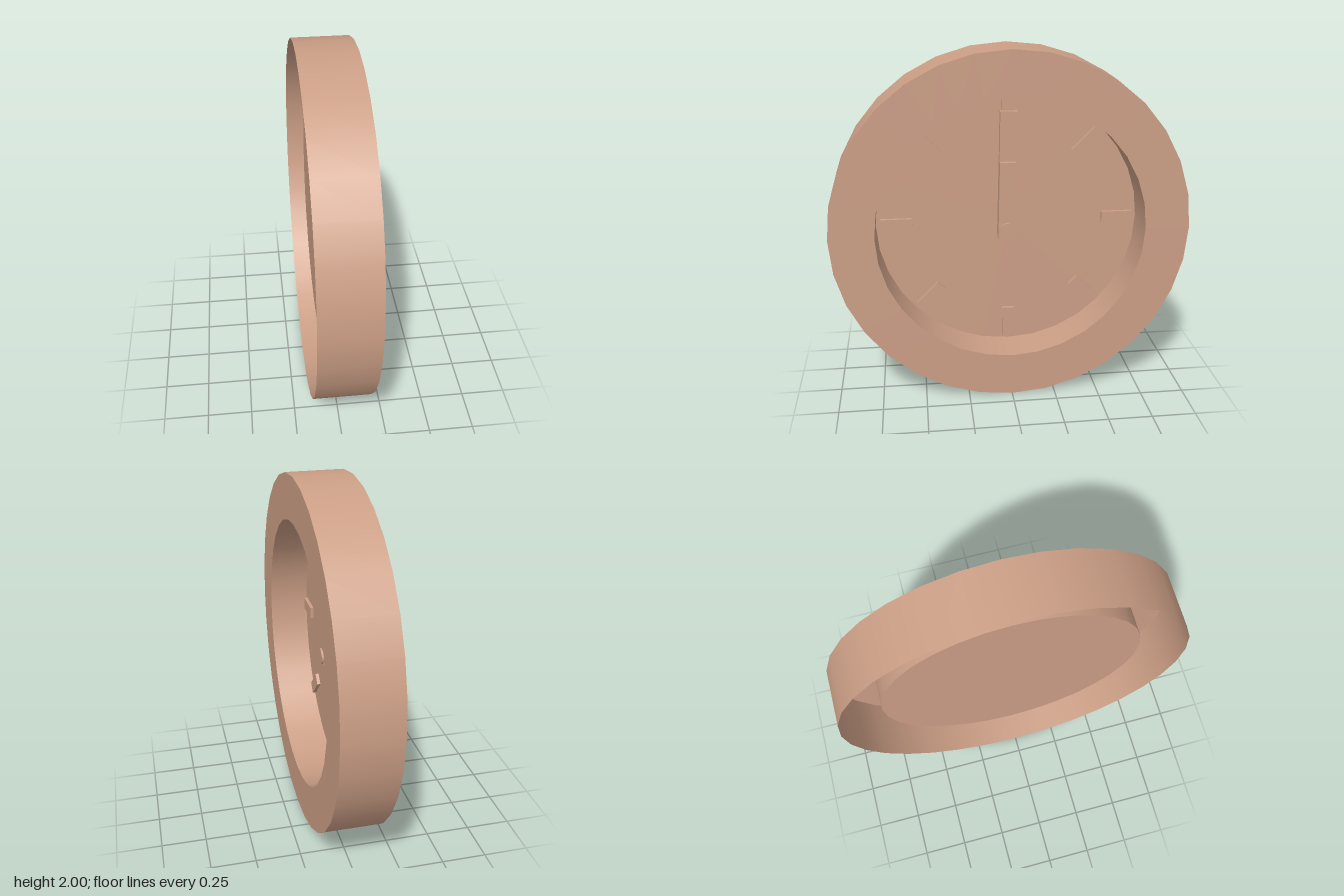
import * as THREE from 'three';

export function createModel() {
  const model = new THREE.Group();
  model.name = 'wallClock';
  const clay = new THREE.MeshStandardMaterial({ color: 0xcc9f86, side: THREE.DoubleSide });
  clay.name = 'clay';

  const SIDES = 32, FRONT = 0.16, BACK = -0.16, DIAL = -0.07, INNER = 0.75;

  // The clock faces +x; its centre is one unit above the ground
  const clock = new THREE.Group();
  clock.name = 'clock';
  clock.position.y = 1;
  model.add(clock);

  function add(name, geometry, x = 0, y = 0, z = 0, tilt = 0, parent = clock) {
    const mesh = new THREE.Mesh(geometry, clay);
    mesh.name = name;
    mesh.position.set(x, y, z);
    mesh.rotation.x = tilt;
    parent.add(mesh);
    return mesh;
  }
  const tube = (r, x0, x1, sides = SIDES, open = true) =>
    new THREE.CylinderGeometry(r, r, x1 - x0, sides, 1, open)
      .rotateZ(-Math.PI / 2).translate((x0 + x1) / 2, 0, 0);

  // Case: thin shell, open at the back
  add('outerRim', tube(1, BACK, FRONT));
  add('frontRing', new THREE.RingGeometry(INNER, 1, SIDES).rotateY(Math.PI / 2), FRONT);
  add('innerWall', tube(INNER, DIAL, FRONT));
  add('dial', new THREE.CircleGeometry(INNER, SIDES).rotateY(Math.PI / 2), DIAL);

  // Eight hour marks around the dial
  const marks = new THREE.Group();
  marks.name = 'hourMarks';
  clock.add(marks);
  for (let i = 0; i < 8; i++) {
    const a = i * Math.PI / 4;
    const mark = new THREE.BoxGeometry(0.02, 0.18, 0.07).translate(0, 0.635, 0);
    add('hourMark', mark, DIAL + 0.01, 0, 0, a, marks);
  }

  // Hands, leaning very slightly, and the pin that holds them
  add('minuteHand', new THREE.BoxGeometry(0.047, 0.735, 0.098), DIAL + 0.0245, 0.273, 0.003, -0.02);
  add('hourHand', new THREE.BoxGeometry(0.073, 0.44, 0.09), DIAL + 0.0375, 0.14, 0.011, -0.025);
  add('centrePin', tube(0.046, DIAL + 0.01, 0.015, 16, false), 0, -0.038, 0.01);

  return model;
}
